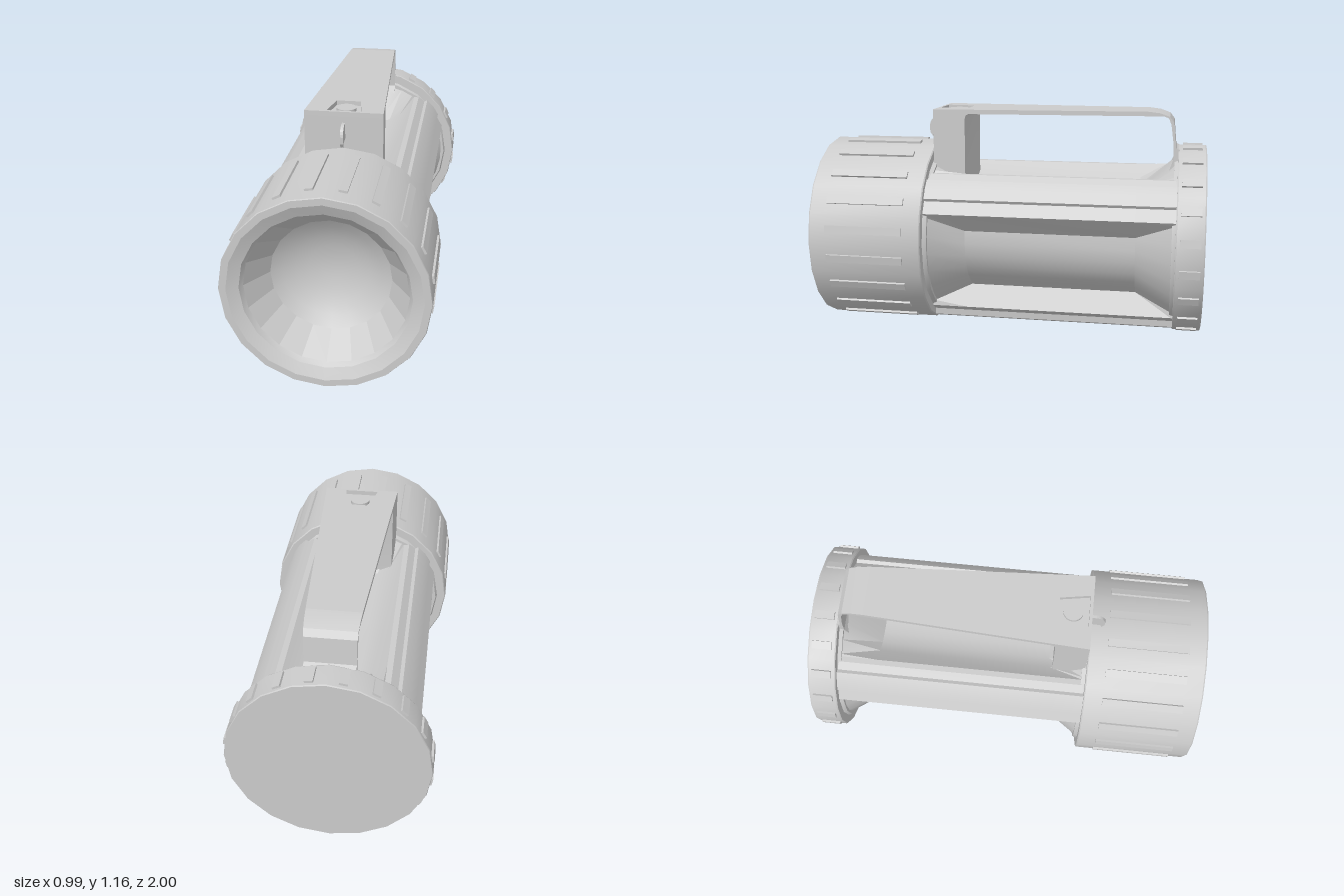
import * as THREE from 'three';
import { toCreasedNormals } from 'three/addons/utils/BufferGeometryUtils.js';

const SIDES = 20, AXIS_Y = 0.495;
const smooth = new THREE.MeshStandardMaterial({ color: 0xcccccc });
const flat = new THREE.MeshStandardMaterial({ color: 0xcccccc, flatShading: true });
const V2 = (p) => new THREE.Vector2(p[0], p[1]);

function add(parent, name, geometry, material = smooth) {
  const mesh = new THREE.Mesh(geometry, material);
  mesh.name = name;
  parent.add(mesh);
  return mesh;
}

// Turned part along z from [radius, z] points
function turned(points) {
  const g = new THREE.LatheGeometry(points.map(V2), SIDES);
  return toCreasedNormals(g.rotateX(Math.PI / 2), 0.4);
}

// Half width of the tapering handle
const halfWidth = (z) => 0.12 + 0.058 * (z + 0.85);

// Extrudes a [z, y] outline across x, tapering with the handle
function sideways(points) {
  const g = new THREE.ExtrudeGeometry(new THREE.Shape(points.map(V2)), { depth: 2, bevelEnabled: false });
  g.translate(0, 0, -1).rotateY(-Math.PI / 2);
  const p = g.attributes.position;
  for (let i = 0; i < p.count; i++) p.setX(i, p.getX(i) * halfWidth(p.getZ(i)));
  return toCreasedNormals(g, 0.5);
}

// Raised grip ribs, one on the middle of each facet
function ribs(parent, name, z0, z1) {
  const set = new THREE.Group();
  set.name = name;
  for (let i = 0; i < SIDES; i++) {
    const a = ((i + 0.5) / SIDES) * Math.PI * 2;
    const rib = add(set, 'rib', new THREE.BoxGeometry(0.03, 0.04, z1 - z0), flat);
    rib.position.set(Math.cos(a) * 0.481, Math.sin(a) * 0.481, (z0 + z1) / 2);
    rib.rotation.z = a;
  }
  parent.add(set);
}

// Body: two upper rails and a broad foot around a core,
// with deep hollows between them that slope up to a rim at both ends
function bodyGeometry() {
  const RIM = 0.425;
  // [angle, radius] from top centre down one side; hollows add their angle at the rim
  const half = [
    [90, 0.243, 90], [78.5, 0.25, 79], [66.7, 0.278, 67], [59.5, 0.33, 57],
    [55, 0.42], [52, 0.437], [46, 0.437], [45, 0.455], [38, 0.458], [31, 0.455], [30, 0.44], [21, 0.447],
    [10, 0.3, 19], [-3, 0.3, 6], [-16, 0.3, -7], [-29, 0.3, -20], [-42, 0.3, -33], [-54, 0.3, -45], [-65, 0.31, -55],
    [-56.5, 0.45], [-64, 0.453], [-66, 0.482], [-74, 0.485], [-82, 0.485], [-90, 0.485]];
  const mirrored = half.slice(1, -1).reverse().map(([a, r, rim]) => [180 - a, r, rim === undefined ? rim : 180 - rim]);
  const section = [...half, ...mirrored];
  // [z, how far the hollow is sunk]
  const rings = [[-0.87, 0], [-0.85, 0], [-0.66, 1], [0.22, 1], [0.4, 0], [0.42, 0]];
  const pos = [], idx = [], n = section.length;
  for (const [z, sink] of rings) {
    for (const [deg, r, rimDeg] of section) {
      const atRim = rimDeg !== undefined && sink === 0;
      const a = THREE.MathUtils.degToRad(atRim ? rimDeg : deg);
      const rr = atRim ? RIM : r;
      pos.push(Math.cos(a) * rr, Math.sin(a) * rr, z);
    }
  }
  for (let k = 0; k < rings.length - 1; k++) {
    for (let i = 0; i < n; i++) {
      const a = k * n + i, b = k * n + ((i + 1) % n);
      idx.push(a, a + n, b, b, a + n, b + n);
    }
  }
  const g = new THREE.BufferGeometry();
  g.setAttribute('position', new THREE.Float32BufferAttribute(pos, 3));
  g.setIndex(idx);
  return toCreasedNormals(g, 0.4);
}

function buildHandle(group) {
  const handle = new THREE.Group();
  handle.name = 'handle';
  group.add(handle);

  // Top plate with a pocket for the button
  const w0 = halfWidth(-0.7), w1 = halfWidth(0.405);
  const plate = new THREE.Shape([[-w1, -0.405], [w1, -0.405], [w0, 0.7], [-w0, 0.7]].map(V2));
  plate.holes.push(new THREE.Path([[-0.085, -0.39], [-0.06, -0.24], [0.06, -0.24], [0.085, -0.39]].map(V2)));
  const plateGeo = new THREE.ExtrudeGeometry(plate, { depth: 0.023, bevelEnabled: false });
  add(handle, 'handlePlate', plateGeo.rotateX(-Math.PI / 2).translate(0, 1.142, 0), flat);

  // Front post, reaching down to the floor of the top hollow
  add(handle, 'frontPost', sideways([
    [0.24, 0.74], [0.405, 0.74], [0.405, 1.142], [0.22, 1.142], [0.235, 1.135], [0.24, 1.115]]));

  // Rear bend running down into the body
  add(handle, 'rearPost', sideways([
    [-0.7, 1.165], [-0.76, 1.158], [-0.81, 1.14], [-0.833, 1.11], [-0.846, 0.98], [-0.865, 0.97], [-0.865, 0.8],
    [-0.79, 0.82], [-0.836, 0.91], [-0.832, 1.0], [-0.818, 1.1], [-0.805, 1.132], [-0.78, 1.142], [-0.7, 1.142]]));

  const button = add(handle, 'button', new THREE.CylinderGeometry(0.05, 0.05, 0.02, 20));
  button.position.set(0, 1.148, 0.312);

  // Thin hook on the front of the post
  const hook = new THREE.Shape();
  hook.moveTo(0.4, 1.03);
  hook.lineTo(0.455, 1.025);
  hook.lineTo(0.46, 1.003);
  hook.lineTo(0.474, 1.025);
  hook.lineTo(0.476, 1.06);
  hook.quadraticCurveTo(0.47, 1.105, 0.43, 1.11);
  hook.lineTo(0.4, 1.11);
  const hookGeo = new THREE.ExtrudeGeometry(hook, { depth: 0.015, bevelEnabled: false, curveSegments: 6 });
  add(handle, 'hook', hookGeo.translate(0, 0, -0.0075).rotateY(-Math.PI / 2), flat);
}

export function createModel() {
  const group = new THREE.Group();
  group.name = 'lantern';

  const barrel = new THREE.Group();
  barrel.name = 'barrel';
  barrel.position.y = AXIS_Y;
  group.add(barrel);

  add(barrel, 'body', bodyGeometry());
  add(barrel, 'frontCollar', turned([[0.38, 0.39], [0.435, 0.39], [0.445, 0.415]]));
  add(barrel, 'rearCollar', turned([[0.445, -0.865], [0.435, -0.84], [0.38, -0.84]]));

  // Head ring, then the faceted wall and the round bowl inside it
  add(barrel, 'headRing', turned([
    [0, 0.41], [0.486, 0.41], [0.491, 0.416], [0.491, 0.994], [0.488, 1], [0.455, 1], [0.4, 0.975]]));
  add(barrel, 'reflectorLip', turned([[0.4, 0.975], [0.385, 0.95]]));
  add(barrel, 'reflectorWall', turned([[0.385, 0.95], [0.29, 0.81]]), flat);
  add(barrel, 'reflectorBowl', turned([
    [0.29, 0.81], [0.24, 0.775], [0.18, 0.745], [0.12, 0.725], [0.06, 0.714], [0, 0.71]]));
  ribs(barrel, 'headRibs', 0.505, 0.91);

  // Rear cap
  add(barrel, 'rearCap', turned([
    [0, -1], [0.488, -1], [0.491, -0.994], [0.491, -0.864], [0.488, -0.858], [0, -0.858]]));
  ribs(barrel, 'capRibs', -0.98, -0.88);

  buildHandle(group);
  return group;
}
